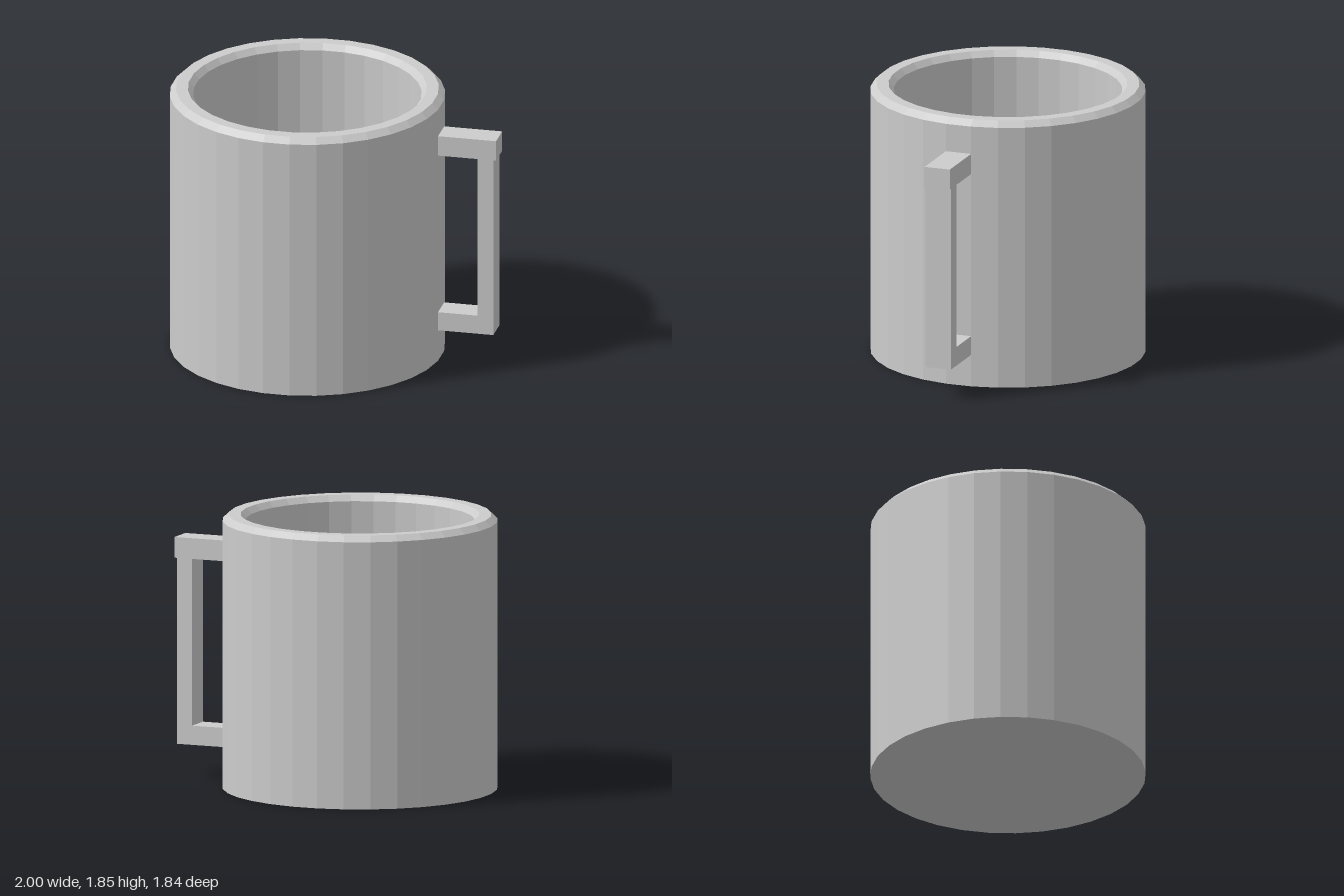
import * as THREE from 'three';

const SIDES = 32;
const RADIUS = 0.922;
const CENTRE_X = -0.077;
const HANDLE_ANGLE = (3.5 / SIDES) * Math.PI * 2; // middle of one wall facet

const toPoints = (list) => list.map(([x, y]) => new THREE.Vector2(x, y));

export function createModel() {
  const grey = new THREE.MeshStandardMaterial({ color: 0xcccccc, flatShading: true });
  grey.name = 'light grey';

  const mug = new THREE.Group();
  mug.name = 'mug';
  mug.position.x = CENTRE_X;

  // Hollow body: base, outer wall, bevelled rim, inner wall and floor
  const profile = toPoints([
    [0, 0], [RADIUS, 0], [RADIUS, 1.81], [0.88, 1.85],
    [0.8, 1.85], [0.765, 1.81], [0.765, 0.16], [0, 0.16],
  ]);
  const body = new THREE.Mesh(new THREE.LatheGeometry(profile, SIDES), grey);
  body.name = 'body';
  mug.add(body);

  // Square handle, as wide as one facet, with a small lip on the upper arm
  const width = 2 * RADIUS * Math.sin(Math.PI / SIDES);
  const root = RADIUS * Math.cos(Math.PI / SIDES);
  const outline = new THREE.Shape(toPoints([
    [root, 0.22], [1.297, 0.22], [1.297, 1.48], [1.316, 1.48], [1.316, 1.62],
    [root, 1.62], [root, 1.48], [1.187, 1.48], [1.187, 0.35], [root, 0.35],
  ]));
  const handleGeometry = new THREE.ExtrudeGeometry(outline, { depth: width, bevelEnabled: false });
  handleGeometry.translate(0, 0, -width / 2);
  const handle = new THREE.Mesh(handleGeometry, grey);
  handle.name = 'handle';
  handle.rotation.y = -HANDLE_ANGLE;
  mug.add(handle);

  const model = new THREE.Group();
  model.add(mug);
  return model;
}
